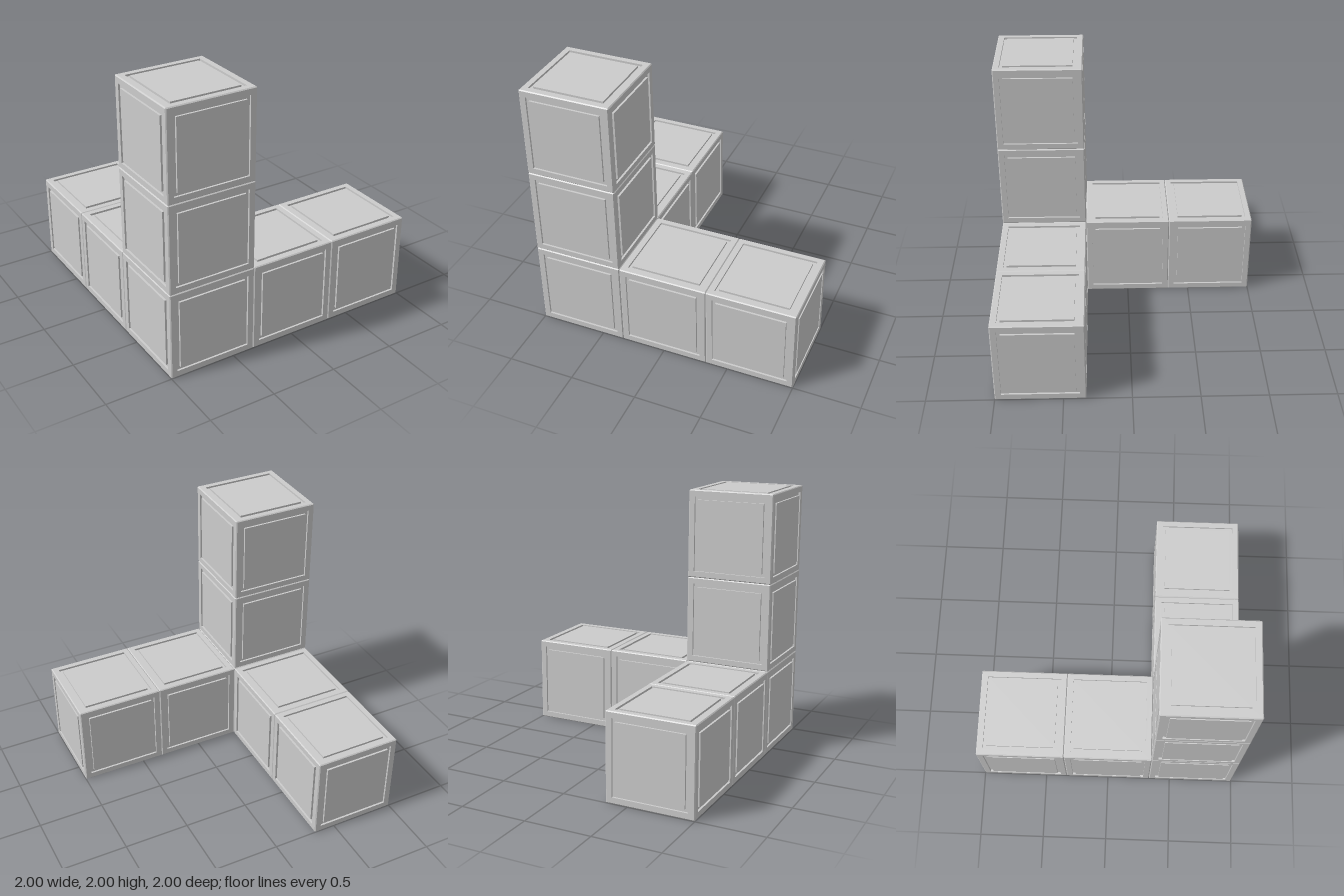
import * as THREE from 'three';
import { mergeGeometries } from 'three/addons/utils/BufferGeometryUtils.js';

const PITCH = 2 / 3;      // cube size and spacing
const H = PITCH / 2;
const BEVEL = 0.007;
const DEPTH = 0.015;      // groove depth

// One cube face: bevelled rim, flat frame, square groove, centre panel.
function faceGeometry() {
  const profile = [
    [H - BEVEL / 2, H - BEVEL / 2],
    [H - BEVEL, H],
    [0.285, H],
    [0.285, H - DEPTH],
    [0.26, H - DEPTH],
    [0.26, H],
    [0, H],
  ].map(([half, y]) => new THREE.Vector2(half * Math.SQRT2, y));
  // A four-sided lathe gives nested squares
  const geo = new THREE.LatheGeometry(profile, 4, Math.PI / 4).toNonIndexed();
  geo.computeVertexNormals();
  return geo;
}

// Six faces turned to close the cube
function cubeGeometry() {
  const q = Math.PI / 2;
  const turns = [[0, 0], [q, 0], [2 * q, 0], [-q, 0], [0, q], [0, -q]];
  return mergeGeometries(turns.map(([x, z]) => faceGeometry().rotateX(x).rotateZ(z)));
}

export function createModel() {
  const model = new THREE.Group();
  model.name = 'cubeCorner';
  const geometry = cubeGeometry();
  const material = new THREE.MeshStandardMaterial({ color: 0xcccccc, flatShading: true });

  function addCube(name, x, y, z) {
    const cube = new THREE.Mesh(geometry, material);
    cube.name = name;
    cube.position.set(-PITCH + x * PITCH, H + y * PITCH, PITCH - z * PITCH);
    model.add(cube);
  }

  // Corner cube and three arms of two cubes each
  addCube('cornerCube', 0, 0, 0);
  for (let i = 1; i <= 2; i++) {
    addCube(`sideArmCube${i}`, i, 0, 0);
    addCube(`uprightArmCube${i}`, 0, i, 0);
    addCube(`backArmCube${i}`, 0, 0, i);
  }
  return model;
}
